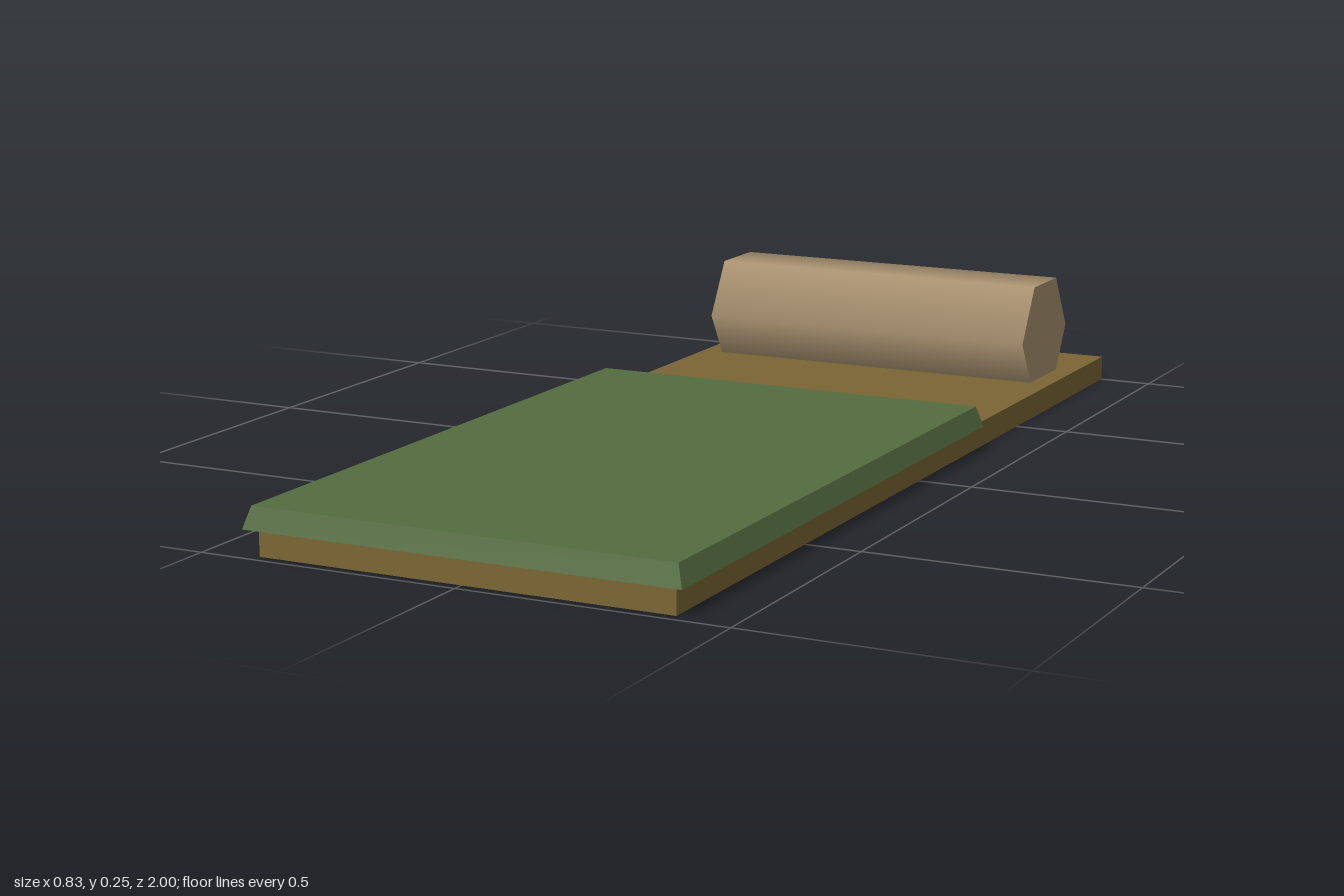
import * as THREE from 'three';

const material = (name, color, side = THREE.FrontSide) => {
  const m = new THREE.MeshStandardMaterial({ color, side });
  m.name = name;
  return m;
};

// Box shell without a floor, standing on y = 0, its top drawn in by `taper`
function openBox(width, height, depth, taper = 0) {
  const geo = new THREE.BoxGeometry(width, height, depth).translate(0, height / 2, 0);
  const pos = geo.attributes.position;
  for (let i = 0; i < pos.count; i++) {
    if (pos.getY(i) < height / 2) continue;
    pos.setX(i, pos.getX(i) - Math.sign(pos.getX(i)) * taper);
    pos.setZ(i, pos.getZ(i) - Math.sign(pos.getZ(i)) * taper);
  }
  // Leave out the fourth face, which is the underside
  geo.setIndex([...geo.index.array].filter((_, i) => Math.floor(i / 6) !== 3));
  geo.clearGroups();
  geo.computeVertexNormals();
  return geo;
}

export function createModel() {
  const group = new THREE.Group();
  group.name = 'bedroll';

  const add = (name, geometry, mat, x, y, z) => {
    const mesh = new THREE.Mesh(geometry, mat);
    mesh.name = name;
    mesh.position.set(x, y, z);
    group.add(mesh);
    return mesh;
  };

  const brown = material('mat brown', 0x7a6535, THREE.DoubleSide);
  const green = material('blanket green', 0x546c40, THREE.DoubleSide);
  const tan = material('pillow tan', 0xa68f6e);

  // Sleeping mat, hollow underneath
  add('mat', openBox(0.79, 0.049, 1.98), brown, 0, 0, -0.01);

  // Blanket with sloping edges, overhanging the mat
  add('blanket', openBox(0.83, 0.04, 1.27, 0.012), green, 0, 0.05, 0.365);

  // Six-sided rolled pillow, sunk slightly into the mat
  const roll = new THREE.CylinderGeometry(0.125, 0.125, 0.705, 6).rotateZ(Math.PI / 2);
  add('pillow', roll, tan, 0, 0.137, -0.76);

  return group;
}
